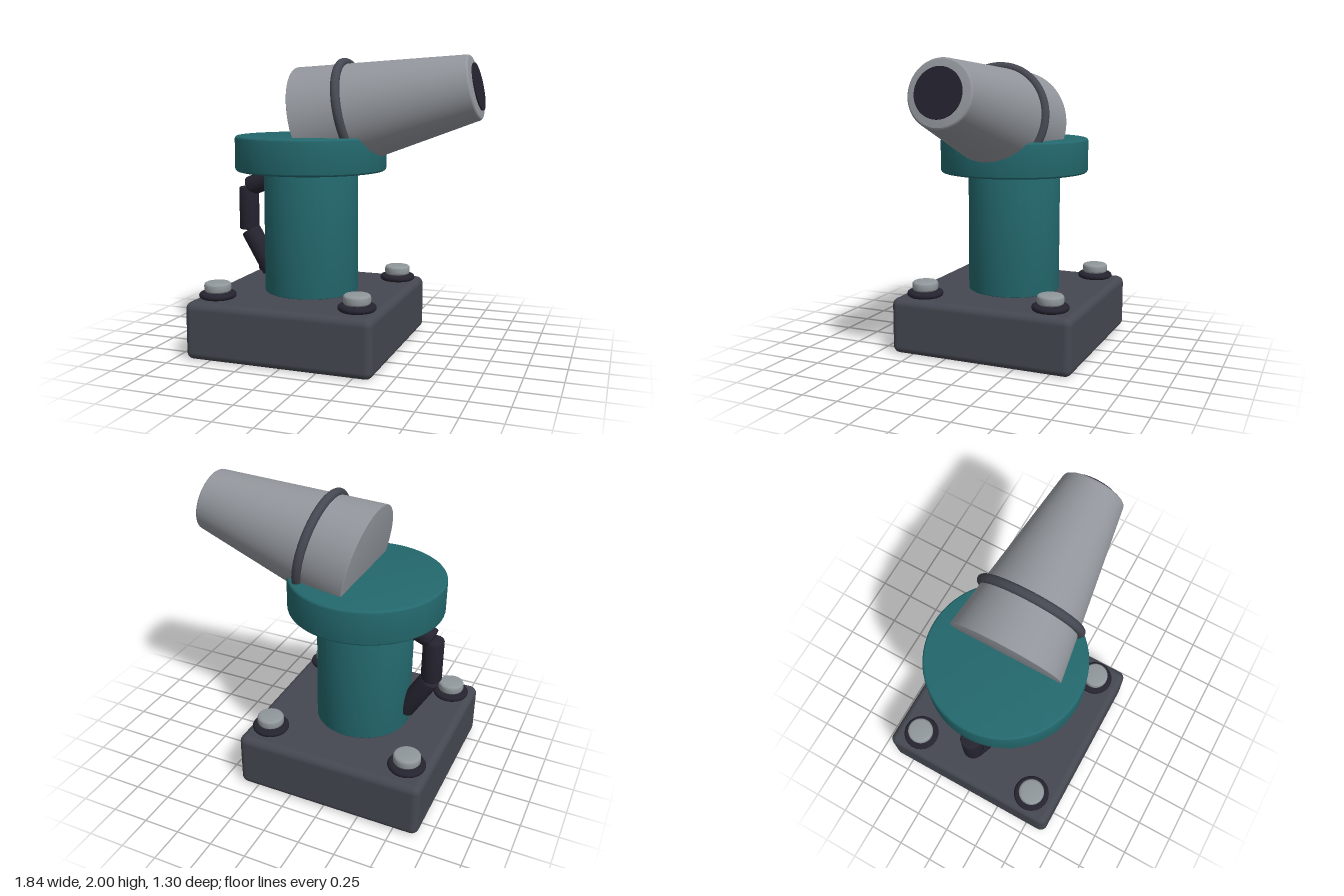
import * as THREE from 'three';
import { toCreasedNormals } from 'three/addons/utils/BufferGeometryUtils.js';
import { RoundedBoxGeometry } from 'three/addons/geometries/RoundedBoxGeometry.js';

const CX = -0.27; // x of the base, column and turntable axis

function material(name, color) {
  const m = new THREE.MeshStandardMaterial({ color });
  m.name = name;
  return m;
}

// Solid of revolution from y = 0 to y = h with softened rims
function roundedCone(rBottom, rTop, h, bevelBottom, bevelTop, segments = 64) {
  const points = [new THREE.Vector2(0, 0)];
  const steps = 4;
  for (let i = 0; i <= steps; i++) {
    const a = (i / steps) * Math.PI / 2;
    points.push(new THREE.Vector2(rBottom - bevelBottom * (1 - Math.sin(a)), bevelBottom * (1 - Math.cos(a))));
  }
  for (let i = 0; i <= steps; i++) {
    const a = (i / steps) * Math.PI / 2;
    points.push(new THREE.Vector2(rTop - bevelTop * (1 - Math.cos(a)), h - bevelTop * (1 - Math.sin(a))));
  }
  points.push(new THREE.Vector2(0, h));
  return toCreasedNormals(new THREE.LatheGeometry(points, segments), 0.3);
}

export function createModel() {
  const model = new THREE.Group();
  model.name = 'turret';

  const slate = material('slate', 0x454851);
  const teal = material('teal', 0x23686d);
  const grey = material('light grey', 0x92969c);
  const boltGrey = material('bolt grey', 0x90979b);
  const dark = material('dark rubber', 0x24232f);

  const add = (name, geometry, mat, x, y, z, parent = model) => {
    const mesh = new THREE.Mesh(geometry, mat);
    mesh.name = name;
    mesh.position.set(x, y, z);
    parent.add(mesh);
    return mesh;
  };

  // Base, column and turntable
  add('base', new RoundedBoxGeometry(1.3, 0.39, 1.3, 4, 0.05), slate, CX, 0.195, 0);
  add('column', roundedCone(0.325, 0.325, 0.845, 0.012, 0.012), teal, CX, 0.385, 0);
  add('turntable', roundedCone(0.52, 0.52, 0.24, 0.02, 0.02), teal, CX, 1.23, 0);

  // Corner bolts with washers
  const washer = roundedCone(0.125, 0.125, 0.04, 0.02, 0.02, 40);
  const head = roundedCone(0.09, 0.09, 0.066, 0.02, 0.02, 40);
  for (const sx of [-1, 1]) {
    for (const sz of [-1, 1]) {
      const bolt = new THREE.Group();
      bolt.name = 'cornerBolt';
      bolt.position.set(CX + sx * 0.495, 0.393, sz * 0.46);
      add('washer', washer, dark, 0, 0, 0, bolt);
      add('boltHead', head, boltGrey, 0, 0.04, 0, bolt);
      model.add(bolt);
    }
  }

  // Segmented hose down the side of the column
  const up = new THREE.Vector3(0, 1, 0);
  const hose = [
    [-0.743, 1.095, -0.5, 1.195],
    [-0.748, 0.79, -0.748, 1.095],
    [-0.74, 0.785, -0.573, 0.5],
  ];
  for (const [x0, y0, x1, y1] of hose) {
    const dir = new THREE.Vector3(x1 - x0, y1 - y0, 0);
    const length = dir.length();
    const segment = add('hoseSegment', roundedCone(0.07, 0.07, length, 0.012, 0.012, 32), dark, x0, y0, 0);
    segment.quaternion.setFromUnitVectors(up, dir.normalize());
  }

  // Tilted barrel: local y runs from the rear face to the muzzle
  const barrel = new THREE.Group();
  barrel.name = 'barrel';
  barrel.position.set(-0.27, 1.553, 0);
  barrel.rotation.z = THREE.MathUtils.degToRad(12 - 90);
  model.add(barrel);
  add('barrelBody', roundedCone(0.385, 0.214, 1.165, 0.004, 0.02, 80), grey, 0, 0, 0, barrel);
  const band = add('barrelBand', new THREE.TorusGeometry(0.345, 0.03, 16, 80), slate, 0, 0.33, 0, barrel);
  band.rotation.x = Math.PI / 2;
  add('muzzle', new THREE.CylinderGeometry(0.155, 0.155, 0.009, 48), dark, 0, 1.179, 0, barrel);

  return model;
}
